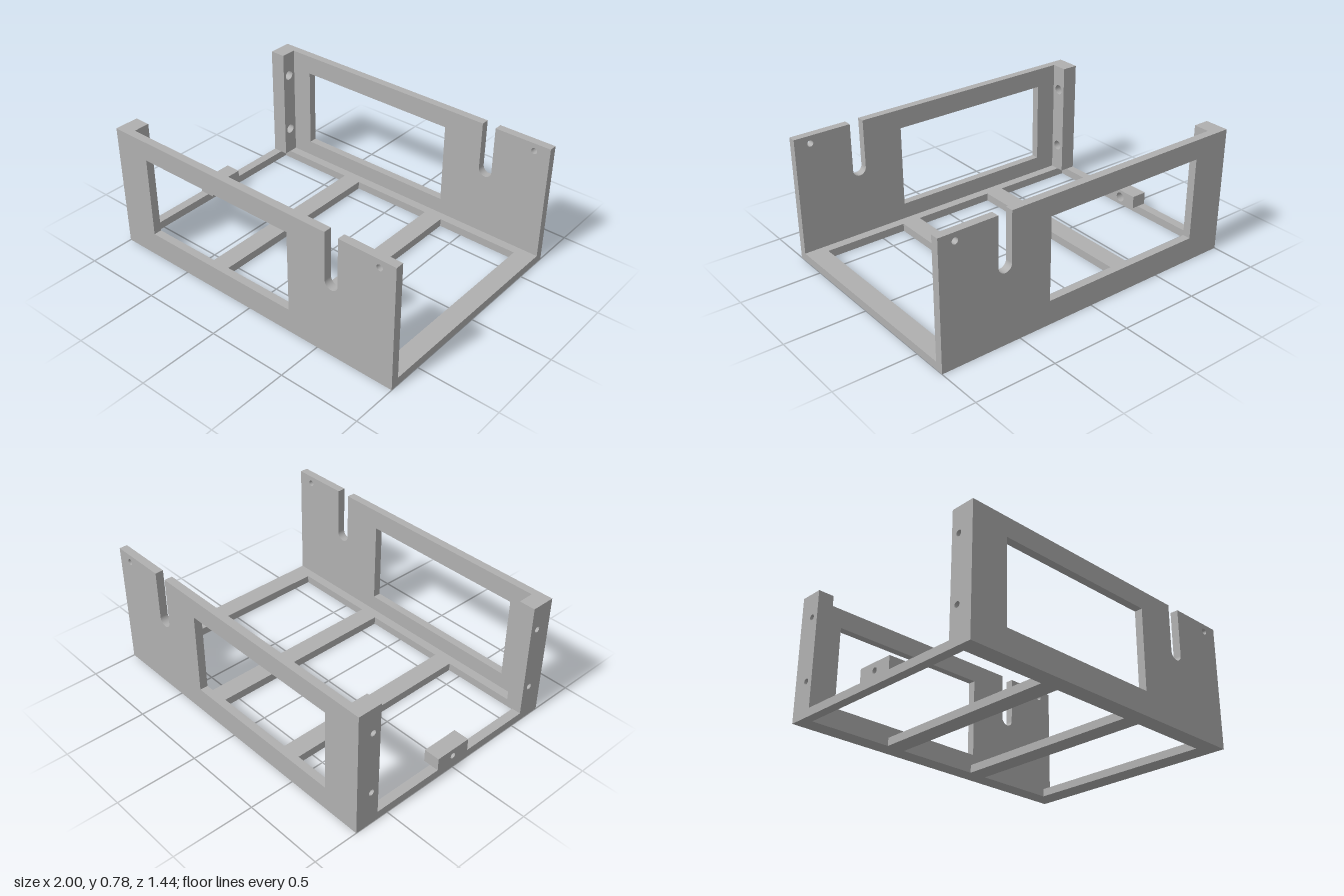
import * as THREE from 'three';

const grey = new THREE.MeshStandardMaterial({ color: 0xb0b0b0 });
grey.name = 'grey plastic';

// Closed rectangle, usable as an outline or a hole
function rect(Type, x0, y0, x1, y1) {
  const p = new Type();
  p.moveTo(x0, y0);
  p.lineTo(x1, y0);
  p.lineTo(x1, y1);
  p.lineTo(x0, y1);
  p.closePath();
  return p;
}

function circle(x, y, r) {
  return new THREE.Path().absarc(x, y, r, 0, Math.PI * 2, true);
}

function plate(name, shape, depth) {
  const geo = new THREE.ExtrudeGeometry(shape, { depth, bevelEnabled: false, curveSegments: 24 });
  const mesh = new THREE.Mesh(geo, grey);
  mesh.name = name;
  return mesh;
}

// Upright block facing +x with screw holes counterbored from the inside
function screwBlock(name, z0, z1, y0, y1, holes) {
  const group = new THREE.Group();
  group.name = name;
  const layers = [['screwSide', -1, 0.018], ['counterboreSide', -0.95, 0.031]];
  for (const [layer, x, r] of layers) {
    const shape = rect(THREE.Shape, -z1, y0, -z0, y1);
    for (const [z, y] of holes) shape.holes.push(circle(-z, y, r));
    const mesh = plate(layer, shape, 0.05);
    mesh.rotation.y = Math.PI / 2;
    mesh.position.x = x;
    group.add(mesh);
  }
  return group;
}

// Side wall with a window, a round-ended slot and a pin hole
function sideWall(name, z) {
  const s = new THREE.Shape();
  s.moveTo(-1, 0.05);
  s.lineTo(1, 0.05);
  s.lineTo(1, 0.78);
  s.lineTo(0.641, 0.78);
  s.lineTo(0.641, 0.481);
  s.absarc(0.598, 0.481, 0.043, 0, Math.PI, true);
  s.lineTo(0.555, 0.78);
  s.lineTo(-1, 0.78);
  s.closePath();
  s.holes.push(rect(THREE.Path, -0.765, 0.15, 0.3, 0.66), circle(0.9, 0.732, 0.019));
  const mesh = plate(name, s, 0.05);
  mesh.position.z = z;
  return mesh;
}

export function createModel() {
  const model = new THREE.Group();
  model.name = 'mountingFrame';

  // Floor frame with three openings
  const floor = rect(THREE.Shape, -1, -0.72, 1, 0.72);
  for (const [x0, x1] of [[-0.943, -0.418], [-0.3, 0.23], [0.35, 0.878]]) {
    floor.holes.push(rect(THREE.Path, x0, -0.613, x1, 0.613));
  }
  const base = plate('floorFrame', floor, 0.05);
  base.rotation.x = -Math.PI / 2;
  model.add(base);

  // Walls and corner posts
  model.add(sideWall('frontWall', 0.67), sideWall('backWall', -0.72));
  model.add(screwBlock('frontPost', 0.57, 0.67, 0.05, 0.78, [[0.62, 0.222], [0.62, 0.622]]));
  model.add(screwBlock('backPost', -0.67, -0.57, 0.05, 0.78, [[-0.62, 0.222], [-0.62, 0.622]]));

  // Low block in the middle of the open end
  model.add(screwBlock('middleBlock', -0.118, 0.118, 0.05, 0.13, [[0, 0.082]]));
  return model;
}
